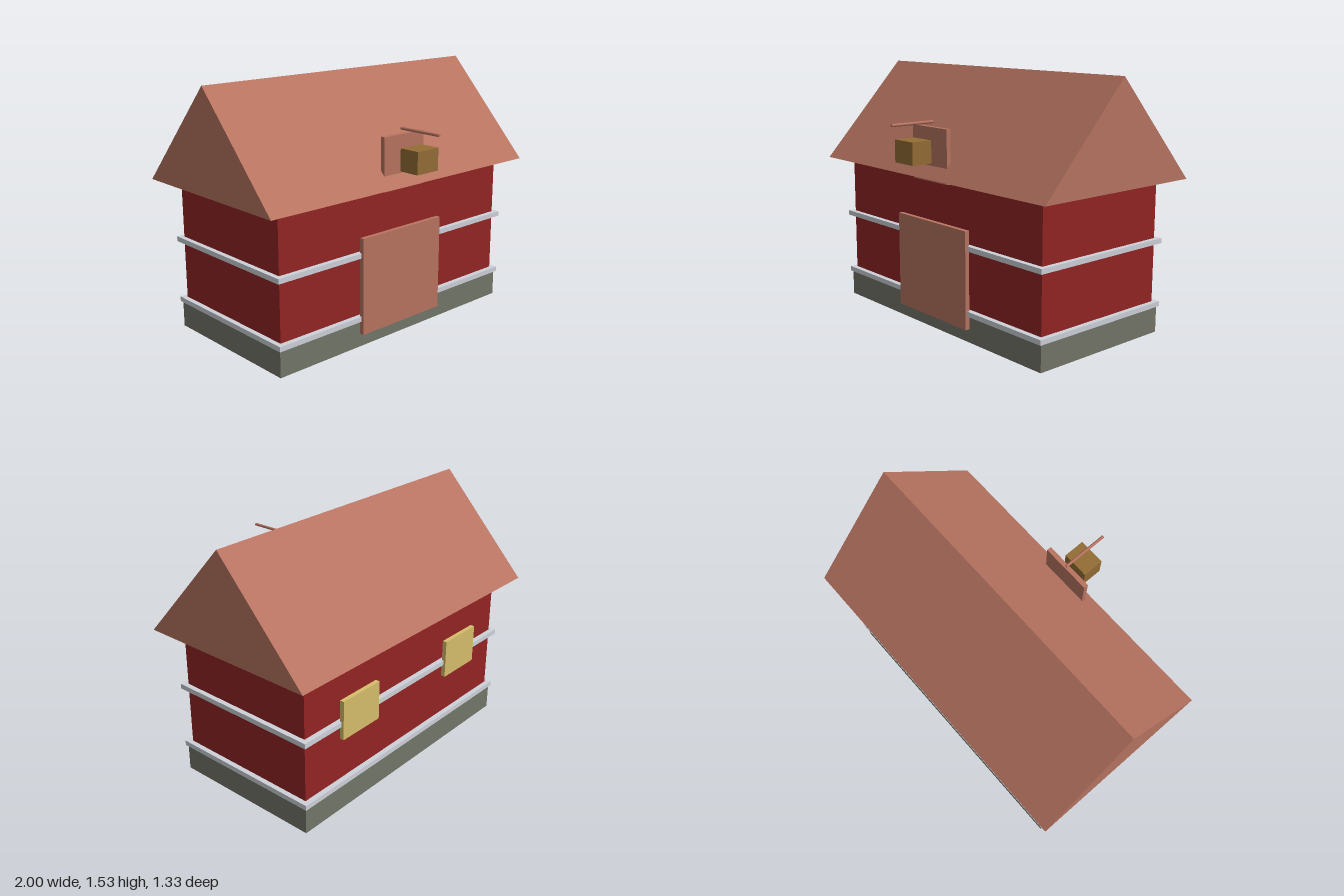
import * as THREE from 'three';

const material = (name, color) => {
  const m = new THREE.MeshStandardMaterial({ color });
  m.name = name;
  return m;
};

export function createModel() {
  const barn = new THREE.Group();
  barn.name = 'barn';

  const terracotta = material('terracotta', 0xb87461);
  const red = material('barnRed', 0x942424);
  const stone = material('stone', 0x737669);
  const trim = material('paleTrim', 0xced2d9);
  const straw = material('straw', 0x946d36);
  const glass = material('yellowWindow', 0xd6bd6c);

  const add = (name, geometry, mat) => {
    const mesh = new THREE.Mesh(geometry, mat);
    mesh.name = name;
    barn.add(mesh);
    return mesh;
  };
  // Box given by its limits along x, y and z
  const box = (name, mat, [x0, x1], [y0, y1], [z0, z1]) =>
    add(name, new THREE.BoxGeometry(x1 - x0, y1 - y0, z1 - z0), mat)
      .position.set((x0 + x1) / 2, (y0 + y1) / 2, (z0 + z1) / 2);

  // Body
  box('foundation', stone, [-0.895, 0.895], [0, 0.16], [-0.57, 0.375]);
  box('walls', red, [-0.875, 0.875], [0.16, 0.922], [-0.55, 0.355]);

  // Trim bands; the top one sits in the eaves
  for (const y of [0.158, 0.54, 0.919]) {
    box('trimBand', trim, [-0.905, 0.905], [y, y + 0.03], [-0.582, 0.388]);
  }

  // Gabled roof: triangle extruded along x
  const gable = new THREE.Shape([
    new THREE.Vector2(-0.465, 0.922),
    new THREE.Vector2(0.662, 0.922),
    new THREE.Vector2(0.0985, 1.527),
  ]);
  const roof = new THREE.ExtrudeGeometry(gable, { depth: 2, bevelEnabled: false });
  roof.translate(0, 0, -1).rotateY(Math.PI / 2);
  add('roof', roof, terracotta);

  // Front doors
  box('barnDoor', terracotta, [-0.315, 0.315], [0.08, 0.658], [0.375, 0.403]);
  box('loftDoor', terracotta, [-0.157, 0.157], [0.896, 1.211], [0.375, 0.403]);

  // Hoist beam and hay bale
  const beam = new THREE.CylinderGeometry(0.009, 0.009, 0.286, 8).rotateX(Math.PI / 2);
  add('hoistBeam', beam, terracotta).position.set(0, 1.239, 0.521);
  box('hayBale', straw, [-0.083, 0.083], [1.016, 1.147], [0.455, 0.585]);

  // Back windows
  for (const x of [-0.47, 0.47]) {
    box('backWindow', glass, [x - 0.15, x + 0.15], [0.464, 0.698], [-0.596, -0.57]);
  }

  return barn;
}
